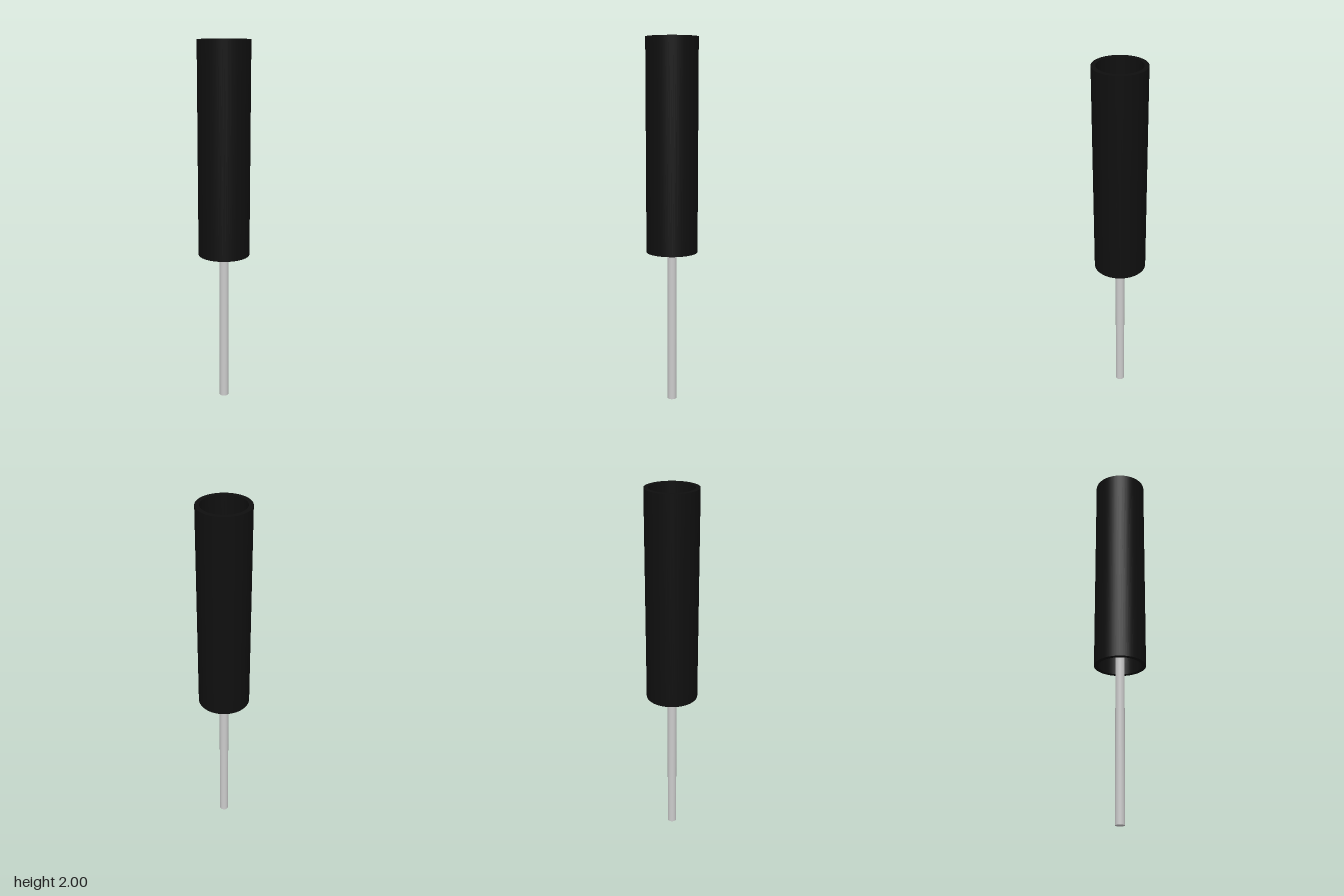
import * as THREE from 'three';

const TUBE_BOTTOM = 0.85, TUBE_TOP = 2, TUBE_OUTER = 0.14, TUBE_INNER = 0.117;
const ROD_RADIUS = 0.025, ROD_TOP = 1.43;

export function createModel() {
  const model = new THREE.Group();
  const black = new THREE.MeshStandardMaterial({ color: 0x0f0f0f });
  const grey = new THREE.MeshStandardMaterial({ color: 0xcccccc });

  // Hollow sleeve: ring cross-section extruded upwards, open at both ends
  const ring = new THREE.Shape().absarc(0, 0, TUBE_OUTER, 0, Math.PI * 2, false);
  ring.holes.push(new THREE.Path().absarc(0, 0, TUBE_INNER, 0, Math.PI * 2, true));
  const tubeGeometry = new THREE.ExtrudeGeometry(ring, {
    depth: TUBE_TOP - TUBE_BOTTOM, bevelEnabled: false, curveSegments: 64,
  });
  tubeGeometry.rotateX(-Math.PI / 2).translate(0, TUBE_BOTTOM, 0);
  const sleeve = new THREE.Mesh(tubeGeometry, black);
  sleeve.name = 'sleeve';
  model.add(sleeve);

  // Thin rod on the axis, running up inside the sleeve
  const rod = new THREE.Mesh(
    new THREE.CylinderGeometry(ROD_RADIUS, ROD_RADIUS, ROD_TOP, 32), grey);
  rod.position.y = ROD_TOP / 2;
  rod.name = 'rod';
  model.add(rod);

  return model;
}
